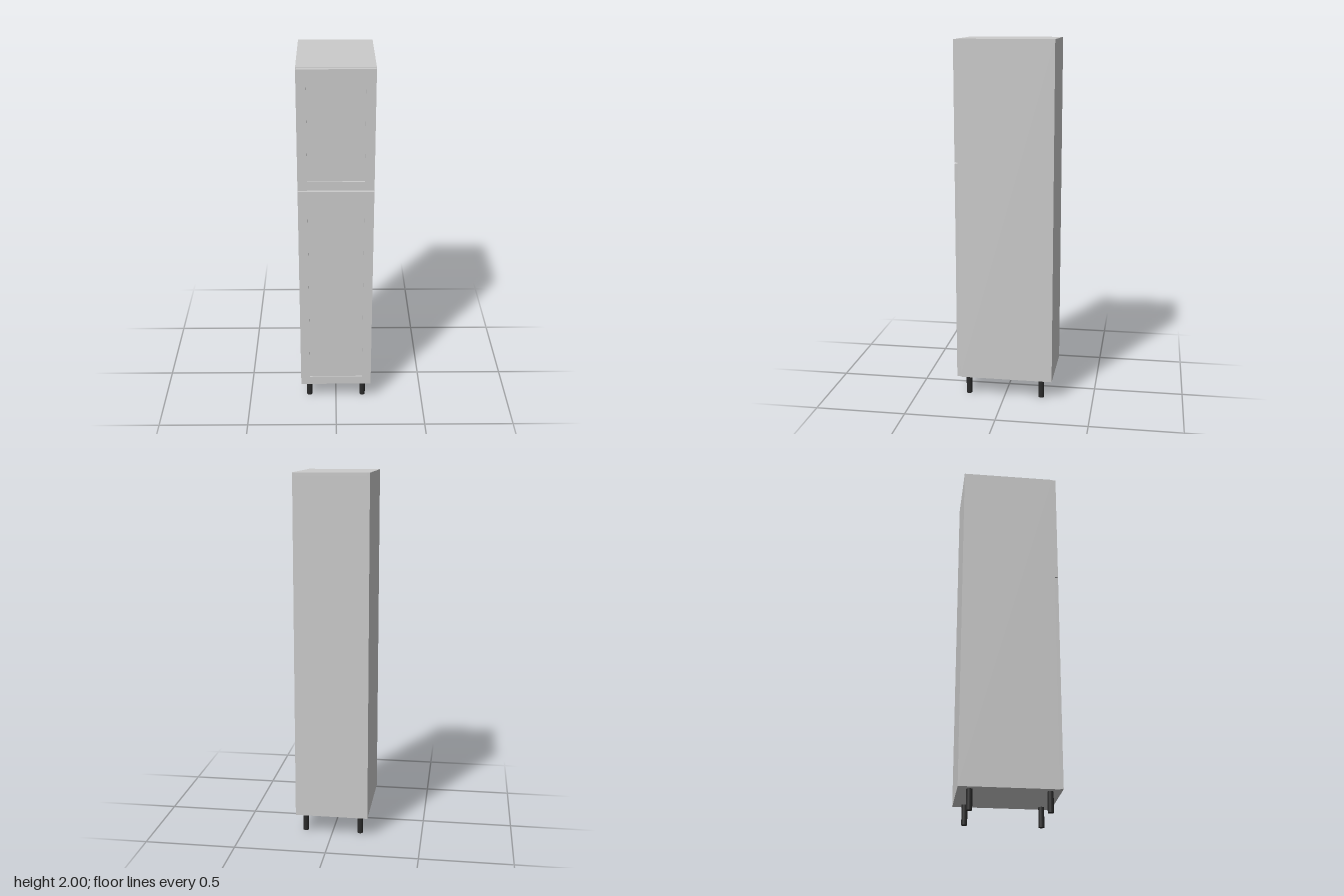
import * as THREE from 'three';

export function createModel() {
  const model = new THREE.Group();
  const grey = new THREE.MeshStandardMaterial({ color: 0xcccccc });
  const dark = new THREE.MeshStandardMaterial({ color: 0x2b2b2b });

  const add = (parent, name, geometry, material, x, y, z) => {
    const mesh = new THREE.Mesh(geometry, material);
    mesh.name = name;
    mesh.position.set(x, y, z);
    parent.add(mesh);
  };
  // Box given by its limits on each axis
  const box = (parent, name, [x0, x1], [y0, y1], [z0, z1]) =>
    add(parent, name, new THREE.BoxGeometry(x1 - x0, y1 - y0, z1 - z0), grey,
      (x0 + x1) / 2, (y0 + y1) / 2, (z0 + z1) / 2);

  // Carcass
  const W = 0.202, T = 0.015, bottom = 0.11, top = 2, back = -0.271, front = 0.251;
  const inner = [T - W, W - T];
  const carcass = new THREE.Group();
  carcass.name = 'carcass';
  model.add(carcass);
  box(carcass, 'rightSide', [-W, T - W], [bottom, top], [back, front]);
  box(carcass, 'leftSide', [W - T, W], [bottom, top], [back, front]);
  box(carcass, 'bottomPanel', inner, [bottom, bottom + T], [back, front]);
  box(carcass, 'topPanel', inner, [top - T, top], [back, front]);
  box(carcass, 'fixedShelf', inner, [1.333, 1.347], [back + 0.006, front]);
  box(carcass, 'backPanel', inner, [bottom + T, top - T], [back, back + 0.006]);

  // Framed doors with a recessed centre panel
  const halfDoor = 0.2, rail = 0.05, doorFront = 0.269, recess = 0.008;
  const addDoor = (name, y0, y1) => {
    const door = new THREE.Group();
    door.name = name;
    model.add(door);
    const h = halfDoor - rail;
    const frame = new THREE.Shape([
      new THREE.Vector2(-halfDoor, y0), new THREE.Vector2(halfDoor, y0),
      new THREE.Vector2(halfDoor, y1), new THREE.Vector2(-halfDoor, y1),
    ]);
    frame.holes.push(new THREE.Path([
      new THREE.Vector2(-h, y0 + rail), new THREE.Vector2(-h, y1 - rail),
      new THREE.Vector2(h, y1 - rail), new THREE.Vector2(h, y0 + rail),
    ]));
    const geometry = new THREE.ExtrudeGeometry(frame, { depth: doorFront - front, bevelEnabled: false });
    add(door, 'doorFrame', geometry, grey, 0, 0, front);
    box(door, 'doorPanel', [-h, h], [y0 + rail, y1 - rail], [front, doorFront - recess]);
  };
  addDoor('lowerDoor', 0.112, 1.336);
  addDoor('upperDoor', 1.344, 1.997);

  // Legs
  for (const x of [-0.155, 0.155])
    for (const z of [-0.208, 0.208])
      add(model, 'leg', new THREE.CylinderGeometry(0.016, 0.016, bottom, 24), dark, x, bottom / 2, z);

  return model;
}
